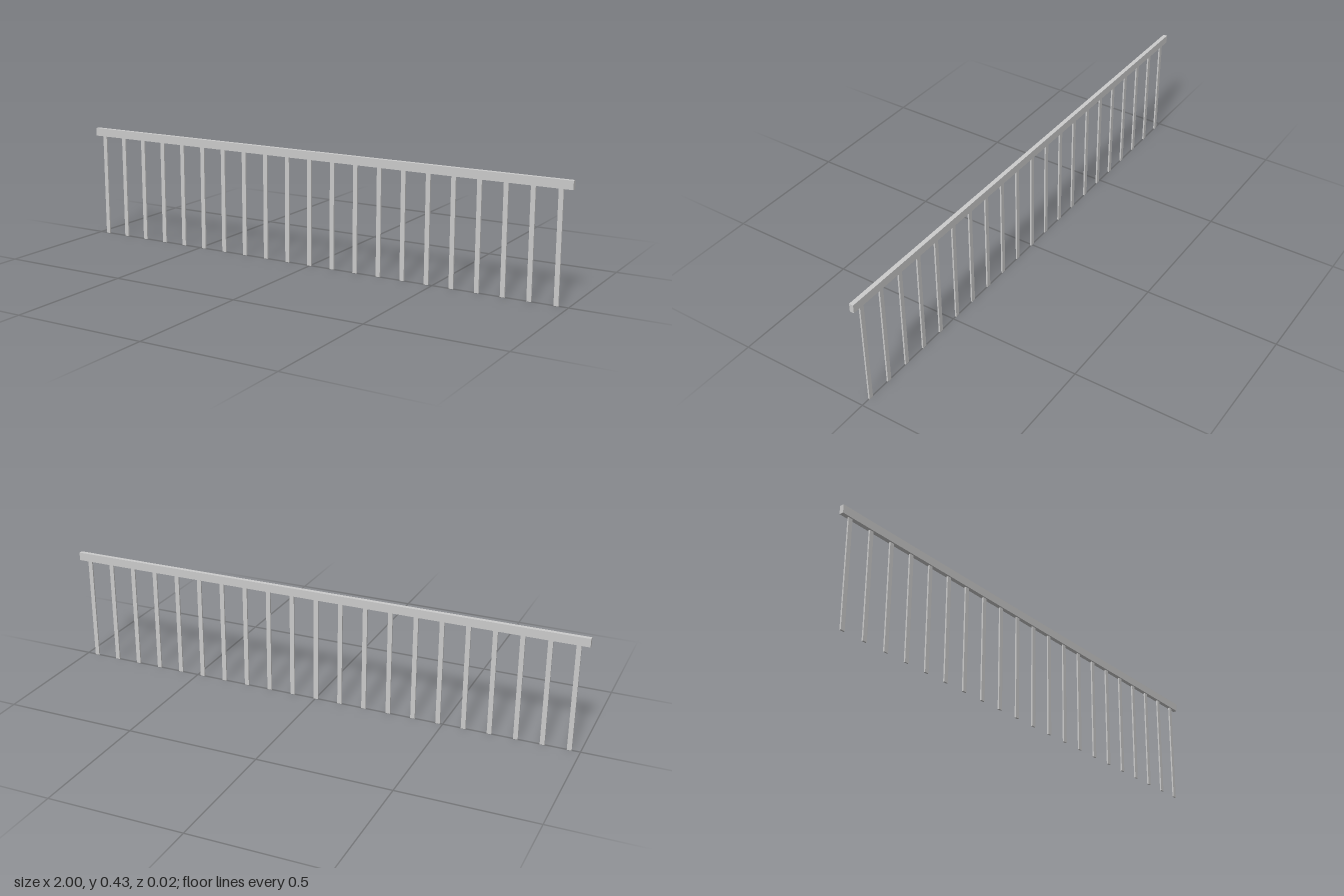
import * as THREE from 'three';

export function createModel() {
  const group = new THREE.Group();
  const material = new THREE.MeshStandardMaterial({ color: 0xcccccc, flatShading: true });
  const railBottom = 0.4, railTop = 0.431;

  const addBox = (name, w, h, d, x, y) => {
    const mesh = new THREE.Mesh(new THREE.BoxGeometry(w, h, d), material);
    mesh.name = name;
    mesh.position.set(x, y, 0);
    group.add(mesh);
  };

  // Handrail along the top
  addBox('handrail', 2, railTop - railBottom, 0.016, 0, (railTop + railBottom) / 2);

  // Evenly spaced flat balusters below the rail
  const count = 21, first = -0.961, spacing = 0.0959;
  for (let i = 0; i < count; i++) {
    addBox(`baluster${i + 1}`, 0.017, railBottom, 0.006, first + i * spacing, railBottom / 2);
  }
  return group;
}
